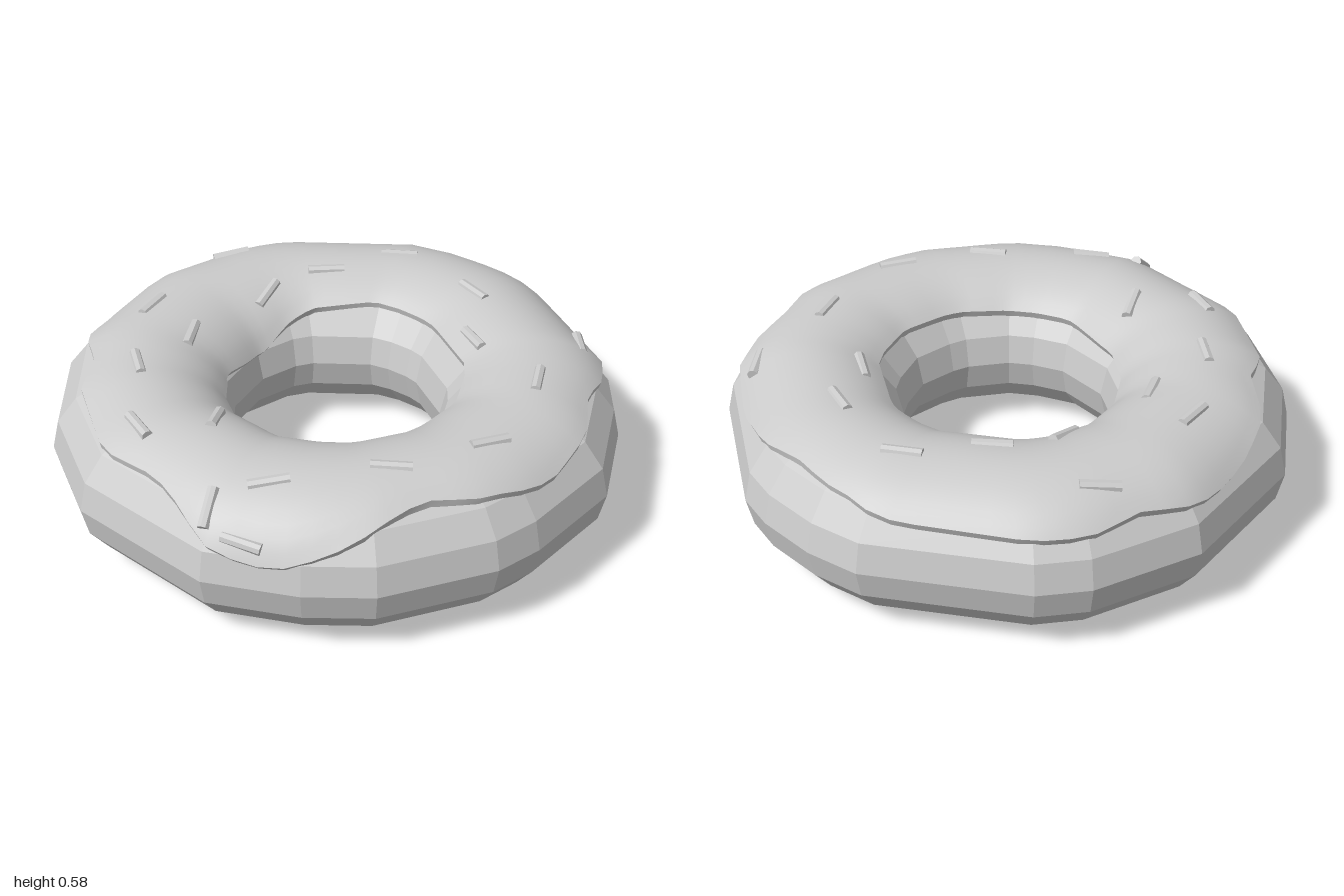
import * as THREE from 'three';

const RING = 0.685, TUBE = 0.315, HALF = 0.272; // ring radius, tube half-width and half-height
const SKIN = 0.02;                               // icing thickness
const RAD = Math.PI / 180;

// Uneven outline of the dough: [angle in degrees, radius]
const outline = [
  [4, 0.987], [28, 0.984], [42, 0.977], [61, 0.994], [93, 1], [115.5, 0.997], [137.4, 1.005],
  [168.5, 1], [191.4, 1.005], [202, 1], [235, 1.005], [246, 1.005], [258.5, 1.005], [267, 1],
  [300, 0.995], [311, 0.992], [332, 1.01], [354, 0.985],
];
// Height of the icing's outer edge, and radius of its inner edge, by angle
const outerEdge = [
  [0, 0.475], [17, 0.5], [27, 0.47], [34, 0.42], [45, 0.36], [52, 0.35], [60, 0.39], [68, 0.45],
  [77, 0.48], [90, 0.475], [116, 0.49], [126, 0.51], [136, 0.48], [152, 0.42], [162, 0.41],
  [180, 0.45], [192, 0.43], [229, 0.44], [238, 0.47], [257, 0.49], [273, 0.45], [282, 0.42],
  [293, 0.43], [307, 0.45], [318, 0.49], [334, 0.47], [347, 0.44],
];
const innerEdge = [
  [0, 0.44], [30, 0.43], [55, 0.43], [87, 0.41], [120, 0.4], [153, 0.38], [172, 0.375],
  [205, 0.44], [230, 0.46], [270, 0.45], [310, 0.45],
];

// Find the two table entries around an angle (wrapping at 360)
function bracket(table, deg) {
  deg = ((deg % 360) + 360) % 360;
  let k = table.findIndex((e) => e[0] > deg);
  if (k < 0) k = table.length;
  const n = table.length;
  const a = table[(k - 1 + n) % n], b = table[k % n];
  const span = (b[0] - a[0] + 360) % 360;
  return { a: a[1], b: b[1], span, d: (deg - a[0] + 360) % 360 };
}
const lerpTable = (table, deg) => {
  const { a, b, span, d } = bracket(table, deg);
  return a + (b - a) * d / span;
};
// Radius on the straight side of the outline polygon
const outlineAt = (deg) => {
  const { a, b, span, d } = bracket(outline, deg);
  return Math.sin(span * RAD) / (Math.sin((span - d) * RAD) / a + Math.sin(d * RAD) / b);
};

// Point on the ring: angle round the ring, angle round the tube, offset from the dough
function ringPoint(deg, t, off = 0) {
  const r = outlineAt(deg) * (RING + (TUBE + off) * Math.cos(t));
  return [r * Math.cos(deg * RAD), HALF + (HALF + off) * Math.sin(t), r * Math.sin(deg * RAD)];
}

// Surface closed round the ring, with rows across the tube
function ringSurface(angles, rows, pointAt) {
  const pos = [], index = [], n = angles.length;
  angles.forEach((deg) => {
    for (let j = 0; j <= rows; j++) pos.push(...pointAt(deg, j / rows));
  });
  for (let i = 0; i < n; i++) {
    for (let j = 0; j < rows; j++) {
      const a = i * (rows + 1) + j, b = ((i + 1) % n) * (rows + 1) + j;
      index.push(a, a + 1, b, b, a + 1, b + 1);
    }
  }
  const g = new THREE.BufferGeometry();
  g.setAttribute('position', new THREE.Float32BufferAttribute(pos, 3));
  g.setIndex(index);
  g.computeVertexNormals();
  return g;
}

// Tube angles where the icing starts (outside) and ends (inside the hole)
const startAngle = (deg) => Math.asin((lerpTable(outerEdge, deg) + 0.015 - HALF) / (HALF + SKIN));
const endAngle = (deg) =>
  Math.acos(Math.max(-0.98, (lerpTable(innerEdge, deg) - RING) / (TUBE + SKIN)));

// Sprinkles: x, z, and direction seen from above
const sprinkles = [
  [0.39, -0.78, 12, 8], [-0.04, -0.64, 1, 0], [-0.41, -0.58, 10, -12], [0.17, -0.47, 13, 3],
  [0.54, -0.45, 10, 11], [-0.49, -0.3, 8, -13], [-0.82, -0.09, 5, -13], [-0.51, 0.05 - 0.1, 6, 12],
  [0.725, -0.09, 3, -13], [0.65, 0.25, 8, -10], [-0.64, 0.36, 6, 12], [-0.42, 0.33, 10, 10],
  [-0.33, 0.6, 13, 5], [0.09, 0.55, 10, 10], [-0.02, 0.78, 13, 1], [0.48, 0.6, 7, -13],
  [0.42, 0.79, 7, 9], [0.56, 0.76, 11, -7],
];

export function createModel() {
  const group = new THREE.Group();
  const smooth = new THREE.MeshStandardMaterial({ color: 0xcccccc });
  const flat = new THREE.MeshStandardMaterial({ color: 0xcccccc, flatShading: true });
  const add = (name, geometry, material, parent = group) => {
    const mesh = new THREE.Mesh(geometry, material);
    mesh.name = name;
    parent.add(mesh);
    return mesh;
  };

  // Faceted dough ring
  add('dough', ringSurface(outline.map((e) => e[0]), 16,
    (deg, v) => ringPoint(deg, v * Math.PI * 2)), flat);

  // Icing skin with a folded-in lip along both edges
  const icing = new THREE.Group();
  icing.name = 'icing';
  group.add(icing);
  const steps = Array.from({ length: 72 }, (_, i) => i * 5);
  add('icingTop', ringSurface(steps, 14, (deg, v) => {
    const a = startAngle(deg);
    return ringPoint(deg, a + (endAngle(deg) - a) * v, SKIN);
  }), smooth, icing);
  add('icingOuterLip', ringSurface(steps, 1, (deg, v) =>
    ringPoint(deg, startAngle(deg) - 0.06 * (1 - v), v ? SKIN : -0.012)), smooth, icing);
  add('icingInnerLip', ringSurface(steps, 1, (deg, v) =>
    ringPoint(deg, endAngle(deg) + 0.06 * v, v ? -0.012 : SKIN)), smooth, icing);

  // Sprinkles lying along the icing
  const sprinkleShape = new THREE.CylinderGeometry(0.02, 0.02, 0.135, 8);
  sprinkles.forEach(([x, z, dx, dz]) => {
    const deg = Math.atan2(z, x) / RAD;
    const w = TUBE + SKIN, h = HALF + SKIN;
    const c = (Math.hypot(x, z) / outlineAt(deg) - RING) / w;
    const s = Math.sqrt(Math.max(0.05, 1 - c * c));
    const normal = new THREE.Vector3(
      (c / w) * Math.cos(deg * RAD), s / h, (c / w) * Math.sin(deg * RAD)).normalize();
    const along = new THREE.Vector3(dx, 0, dz);
    along.y = -along.dot(normal) / normal.y;
    along.normalize();
    const side = new THREE.Vector3().crossVectors(along, normal);
    const mesh = add('sprinkle', sprinkleShape, flat);
    mesh.quaternion.setFromRotationMatrix(new THREE.Matrix4().makeBasis(side, along, normal));
    mesh.position.set(x, HALF + h * s, z).addScaledVector(normal, -0.006);
  });
  return group;
}
